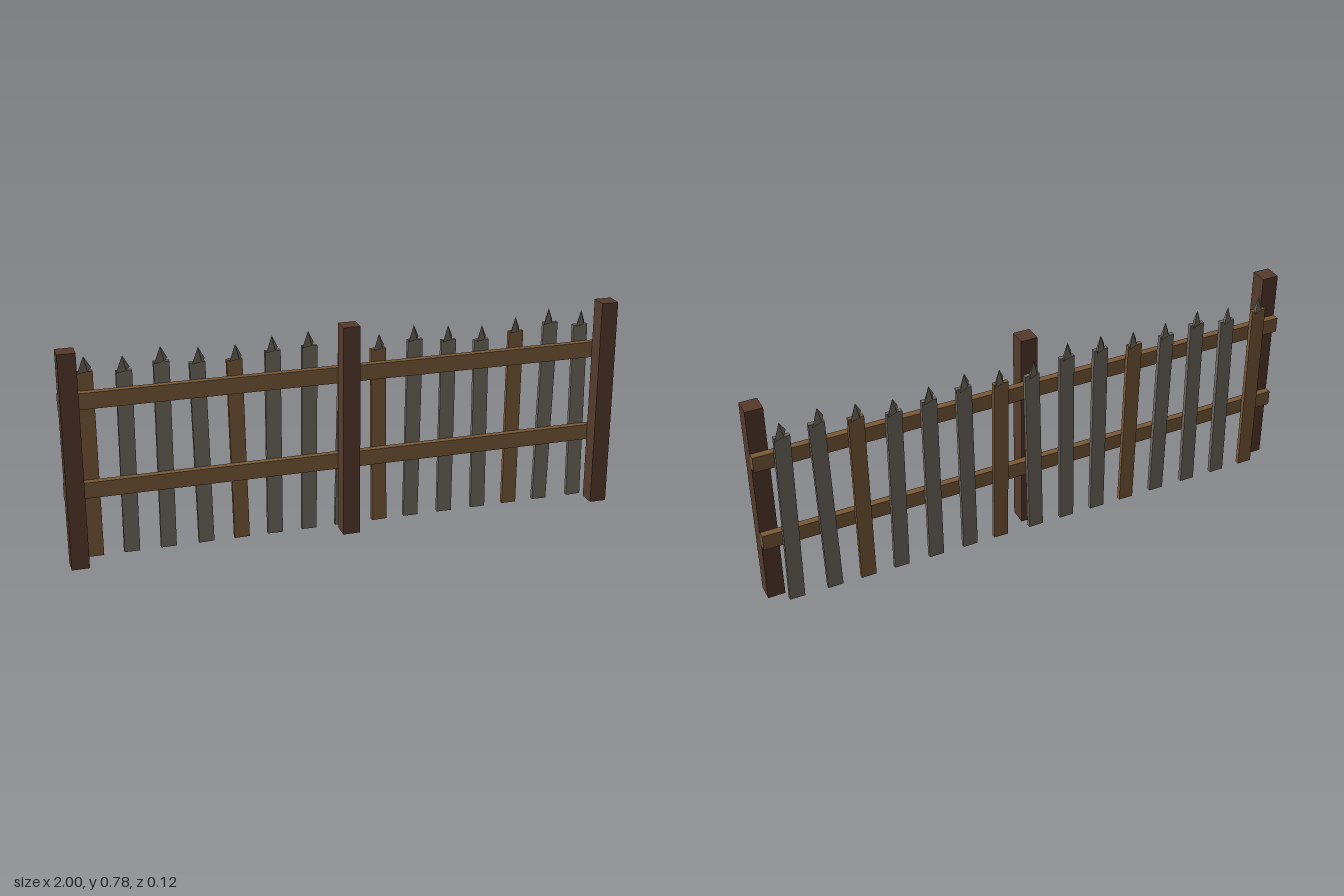
import * as THREE from 'three';

const material = (name, color) => {
  const m = new THREE.MeshStandardMaterial({ color });
  m.name = name;
  return m;
};

export function createModel() {
  const fence = new THREE.Group();
  fence.name = 'fence';
  const darkWood = material('darkWood', 0x553a2c);
  const brownWood = material('brownWood', 0x7a5a38);
  const greyWood = material('greyWood', 0x706a60);

  const add = (name, geometry, mat, x, y, z) => {
    const mesh = new THREE.Mesh(geometry, mat);
    mesh.name = name;
    mesh.position.set(x, y, z);
    fence.add(mesh);
    return mesh;
  };

  // Three square posts standing in front of the rails
  const postGeometry = new THREE.BoxGeometry(0.062, 0.775, 0.063);
  for (const x of [-0.969, 0, 0.969]) add('post', postGeometry, darkWood, x, 0.3875, 0.0315);

  // Two horizontal rails
  const railGeometry = new THREE.BoxGeometry(2, 0.058, 0.025);
  for (const y of [0.26, 0.583]) add('rail', railGeometry, brownWood, 0, y, -0.0125);

  // Uneven pickets: height of the tip and sideways lean of each board
  const tipHeights = [0.73, 0.72, 0.74, 0.725, 0.722, 0.74, 0.745, 0.71, 0.71, 0.73, 0.717, 0.706, 0.725, 0.745, 0.727];
  const leans = [0, -0.008, -0.004, 0.016, 0.016, -0.004, -0.012, -0.025, 0.012, -0.012, -0.004, 0.008, -0.004, -0.02, 0.012];
  const tipHeight = 0.052;
  const tipGeometry = new THREE.ConeGeometry(0.04, tipHeight, 4).toNonIndexed();
  tipGeometry.computeVertexNormals();

  tipHeights.forEach((top, i) => {
    const x = -0.903 + i * 0.129;
    const boardHeight = top - tipHeight;
    const board = add('picket', new THREE.BoxGeometry(0.055, boardHeight, 0.016), i % 4 ? greyWood : brownWood,
      x, boardHeight / 2, -0.033);
    board.rotation.z = leans[i];

    // Flattened four-sided point, turned diagonally
    const tip = add('picketTip', tipGeometry, greyWood, x, top - tipHeight / 2, -0.033);
    tip.scale.z = 0.35;
    tip.rotation.y = Math.PI / 4;
  });

  return fence;
}
